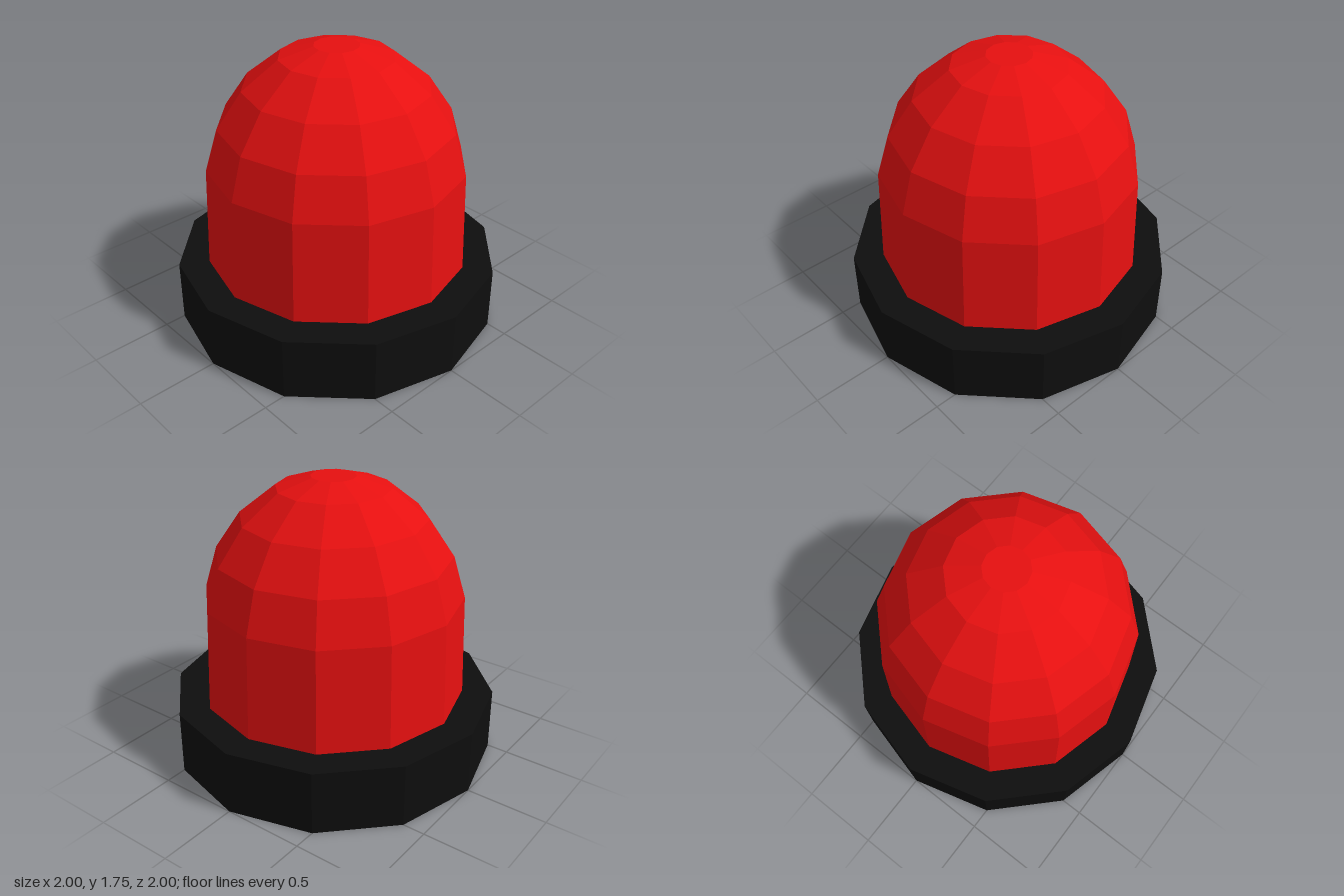
import * as THREE from 'three';

const SIDES = 12;

// Faceted solid of revolution from [radius, height] pairs, bottom to top
function turned(name, profile, material) {
  const points = profile.map(([r, y]) => new THREE.Vector2(r, y));
  const geometry = new THREE.LatheGeometry(points, SIDES).toNonIndexed();
  geometry.computeVertexNormals();
  const mesh = new THREE.Mesh(geometry, material);
  mesh.name = name;
  return mesh;
}

export function createModel() {
  const red = new THREE.MeshStandardMaterial({ name: 'red lens', color: 0xe61010, flatShading: true });
  const black = new THREE.MeshStandardMaterial({ name: 'black base', color: 0x0e0e0e, flatShading: true });

  const model = new THREE.Group();
  model.name = 'beaconLight';

  // Wide closed base
  model.add(turned('base', [[0, 0], [1, 0], [1, 0.395], [0, 0.395]], black));

  // Slightly tapered lens with a rounded dome and small flat cap
  model.add(turned('lensDome', [
    [0.813, 0.39], [0.79, 1.03], [0.713, 1.29], [0.56, 1.515],
    [0.342, 1.69], [0.135, 1.755], [0, 1.755],
  ], red));

  return model;
}
